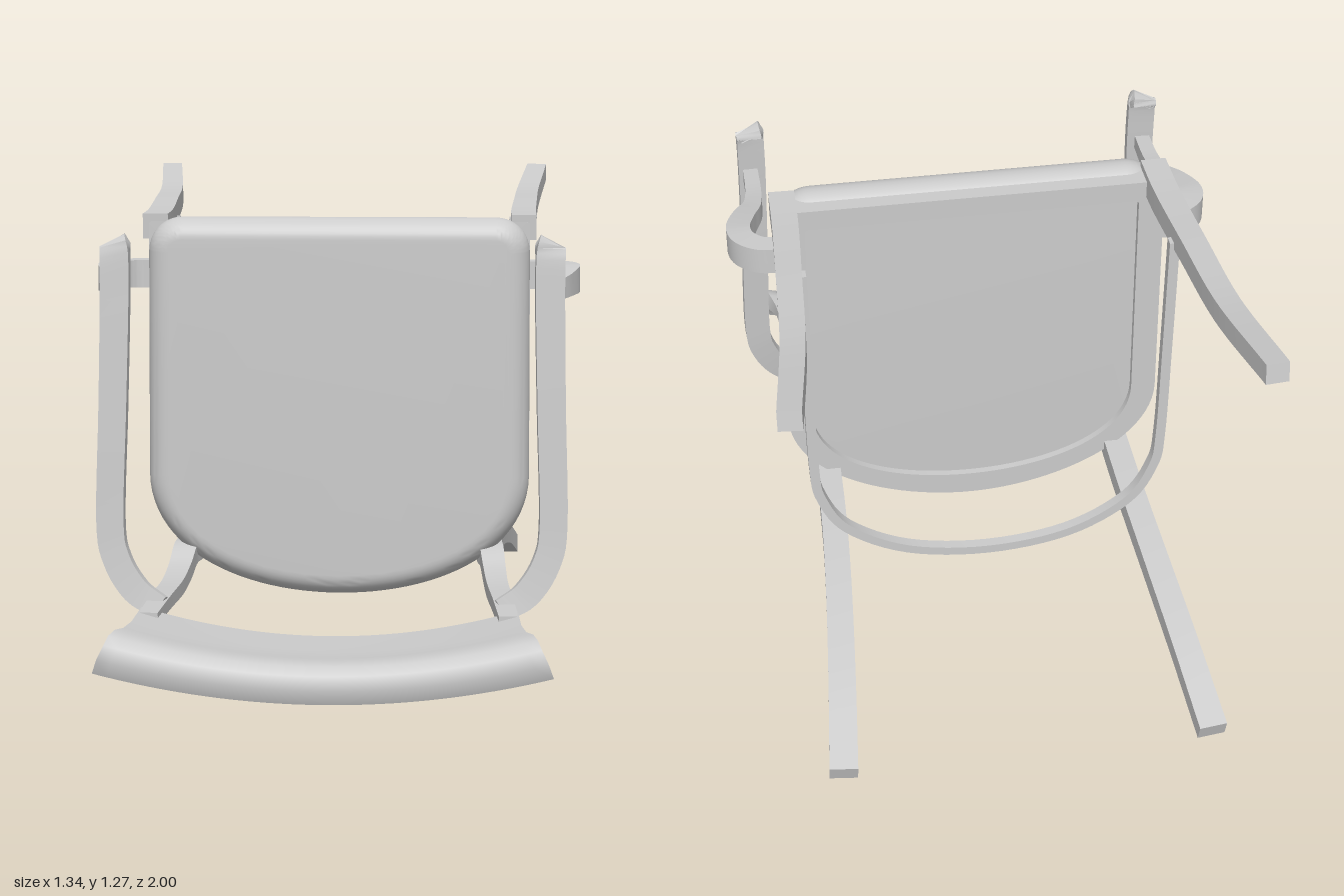
import * as THREE from 'three';
import { toCreasedNormals } from 'three/addons/utils/BufferGeometryUtils.js';

const material = new THREE.MeshStandardMaterial({ color: 0xcccccc });
const X = new THREE.Vector3(1, 0, 0);
const Y = new THREE.Vector3(0, 1, 0);
const Z = new THREE.Vector3(0, 0, 1);

function part(name, geometry, crease = 0.6) {
  const mesh = new THREE.Mesh(toCreasedNormals(geometry, crease), material);
  mesh.name = name;
  return mesh;
}

// Skin a row of equal rings (counter-clockwise about the direction of travel) and cap the ends
function loft(rings) {
  const n = rings[0].length, last = rings.length - 1;
  const pos = [];
  const quad = (a, b, c, d) => {
    for (const p of [a, b, c, a, c, d]) pos.push(p.x, p.y, p.z);
  };
  for (let i = 0; i < last; i++) {
    for (let j = 0; j < n; j++) {
      const k = (j + 1) % n;
      quad(rings[i][j], rings[i][k], rings[i + 1][k], rings[i + 1][j]);
    }
  }
  for (let j = 0; j < n / 2 - 1; j++) {
    const e = rings[last], s = rings[0];
    quad(e[j], e[j + 1], e[n - 2 - j], e[n - 1 - j]);
    quad(s[n - 1 - j], s[n - 2 - j], s[j + 1], s[j]);
  }
  const g = new THREE.BufferGeometry();
  g.setAttribute('position', new THREE.Float32BufferAttribute(pos, 3));
  return g;
}

// Rectangular bar along points [x, y, z, width, thickness]; width lies along the given axis
function bar(points, axis, steps = 40) {
  const path = new THREE.CatmullRomCurve3(points.map(p => new THREE.Vector3(p[0], p[1], p[2])), false, 'catmullrom', 0.5);
  const size = new THREE.CatmullRomCurve3(points.map(p => new THREE.Vector3(p[3], p[4], 0)), false, 'catmullrom', 0.5);
  const rings = [];
  for (let i = 0; i <= steps; i++) {
    const c = path.getPoint(i / steps), s = size.getPoint(i / steps);
    const t = path.getTangent(i / steps);
    const u = axis.clone().addScaledVector(t, -axis.dot(t)).normalize();
    const v = t.clone().cross(u);
    rings.push([[1, 1], [-1, 1], [-1, -1], [1, -1]].map(([a, b]) =>
      c.clone().addScaledVector(u, a * s.x / 2).addScaledVector(v, b * s.y / 2)));
  }
  return loft(rings);
}

// Seat plan: straight front with small corners, rounded back
function seatOutline(shape, inset, top, r) {
  const a = 0.535 - inset, bottom = 0.107 + inset, f = 0.53 - inset;
  shape.moveTo(0, bottom);
  shape.bezierCurveTo(0.25, bottom, a, 0.24 + inset * 0.5, a, 0.45);
  shape.lineTo(f, top - r);
  shape.quadraticCurveTo(f, top, f - r, top);
  shape.lineTo(-f + r, top);
  shape.quadraticCurveTo(-f, top, -f, top - r);
  shape.lineTo(-a, 0.45);
  shape.bezierCurveTo(-a, 0.24 + inset * 0.5, -0.25, bottom, 0, bottom);
  return shape;
}

export function createModel() {
  const chair = new THREE.Group();
  chair.name = 'armchairLyingOnItsBack';

  // Seat frame, open underneath
  const frameShape = seatOutline(new THREE.Shape(), 0, 1.16, 0.01);
  frameShape.holes.push(seatOutline(new THREE.Path(), 0.07, 1.1, 0.01));
  const frame = new THREE.ExtrudeGeometry(frameShape, { depth: 0.085, bevelEnabled: false, curveSegments: 24 });
  frame.translate(0, 0, -0.01);
  chair.add(part('seatFrame', frame));

  // Cushion with a soft rounded edge; its flat base is the panel seen from below
  const cushion = new THREE.ExtrudeGeometry(seatOutline(new THREE.Shape(), 0.06, 1.113, 0.04), {
    depth: 0.002, bevelEnabled: true, bevelSize: 0.06, bevelThickness: 0.064, bevelSegments: 10, curveSegments: 24,
  });
  cushion.translate(0, 0, 0.074);
  chair.add(part('seatCushion', cushion, 0.8));

  for (const side of [1, -1]) {
    const prefix = side > 0 ? 'left' : 'right';
    const add = (name, pts, axis) =>
      chair.add(part(prefix + name, bar(pts.map(([x, ...rest]) => [x * side, ...rest]), axis)));

    // Front leg
    add('FrontLeg', [
      [0.513, 1.145, 0.07, 0.07, 0.07],
      [0.517, 1.15, -0.1, 0.07, 0.066],
      [0.53, 1.167, -0.35, 0.067, 0.062],
      [0.548, 1.189, -0.65, 0.064, 0.058],
      [0.585, 1.245, -0.983, 0.06, 0.054],
    ], X);

    // Rear leg running on into the back upright
    add('RearLegAndUpright', [
      [0.5, 0.03, -0.99, 0.076, 0.055],
      [0.474, 0.11, -0.74, 0.074, 0.056],
      [0.45, 0.169, -0.47, 0.072, 0.058],
      [0.434, 0.203, -0.22, 0.071, 0.06],
      [0.427, 0.222, 0.03, 0.07, 0.06],
      [0.432, 0.222, 0.11, 0.066, 0.055],
      [0.438, 0.192, 0.2, 0.062, 0.046],
      [0.444, 0.176, 0.33, 0.058, 0.04],
      [0.455, 0.176, 0.5, 0.055, 0.036],
      [0.465, 0.176, 0.7, 0.05, 0.032],
    ], X);

    // Armrest, hooked at its front tip and sweeping in to the upright
    add('Armrest', [
      [0.57, 1.108, 0.452, 0.07, 0.026],
      [0.57, 1.124, 0.462, 0.074, 0.028],
      [0.57, 1.105, 0.476, 0.076, 0.03],
      [0.57, 0.98, 0.485, 0.076, 0.032],
      [0.576, 0.7, 0.503, 0.074, 0.034],
      [0.584, 0.4, 0.522, 0.073, 0.034],
      [0.566, 0.295, 0.532, 0.073, 0.034],
      [0.515, 0.215, 0.546, 0.072, 0.034],
      [0.45, 0.175, 0.56, 0.06, 0.034],
    ], side > 0 ? X.clone().add(new THREE.Vector3(0, -0.6, 0)) : X.clone().add(new THREE.Vector3(0, 0.6, 0)));

    // Curved arm support
    add('ArmSupport', [
      [0.51, 1.01, 0.02, 0.078, 0.06],
      [0.575, 1.01, 0.022, 0.077, 0.062],
      [0.622, 1.01, 0.06, 0.076, 0.066],
      [0.634, 1.008, 0.12, 0.073, 0.066],
      [0.612, 1.0, 0.2, 0.062, 0.062],
      [0.584, 0.99, 0.27, 0.052, 0.05],
      [0.575, 0.982, 0.36, 0.044, 0.044],
      [0.575, 0.978, 0.48, 0.04, 0.042],
    ], Y);
  }

  // Bent hoop stretcher between the legs
  const half = [[0.495, 1.15], [0.492, 0.8], [0.488, 0.5], [0.472, 0.38], [0.4, 0.258], [0.23, 0.16]];
  const hoop = [...half, [0, 0.127], ...half.map(([x, y]) => [-x, y]).reverse()];
  chair.add(part('hoopStretcher', bar(hoop.map(([x, y]) => [x, y, -0.275, 0.03, 0.027]), Z, 72)));

  // Curved crest rail with a rolled top: profile points are [depth back, height, half width]
  const profile = [
    [0, 0.64, 0.49], [0, 0.8, 0.495], [-0.003, 0.88, 0.505], [-0.01, 0.93, 0.52],
    [-0.005, 0.97, 0.53], [0.015, 0.99, 0.54], [0.05, 1, 0.557],
    [0.088, 0.985, 0.57], [0.085, 0.965, 0.562], [0.062, 0.955, 0.55], [0.045, 0.935, 0.53],
    [0.037, 0.88, 0.505], [0.035, 0.8, 0.495], [0.035, 0.64, 0.49],
  ];
  const rings = [];
  for (let i = 0; i <= 32; i++) {
    const s = i / 16 - 1;
    rings.push(profile.map(([d, z, w]) => new THREE.Vector3(s * w, 0.12 + 0.073 * s * s - d, z)));
  }
  chair.add(part('crestRail', loft(rings), 0.9));

  return chair;
}
